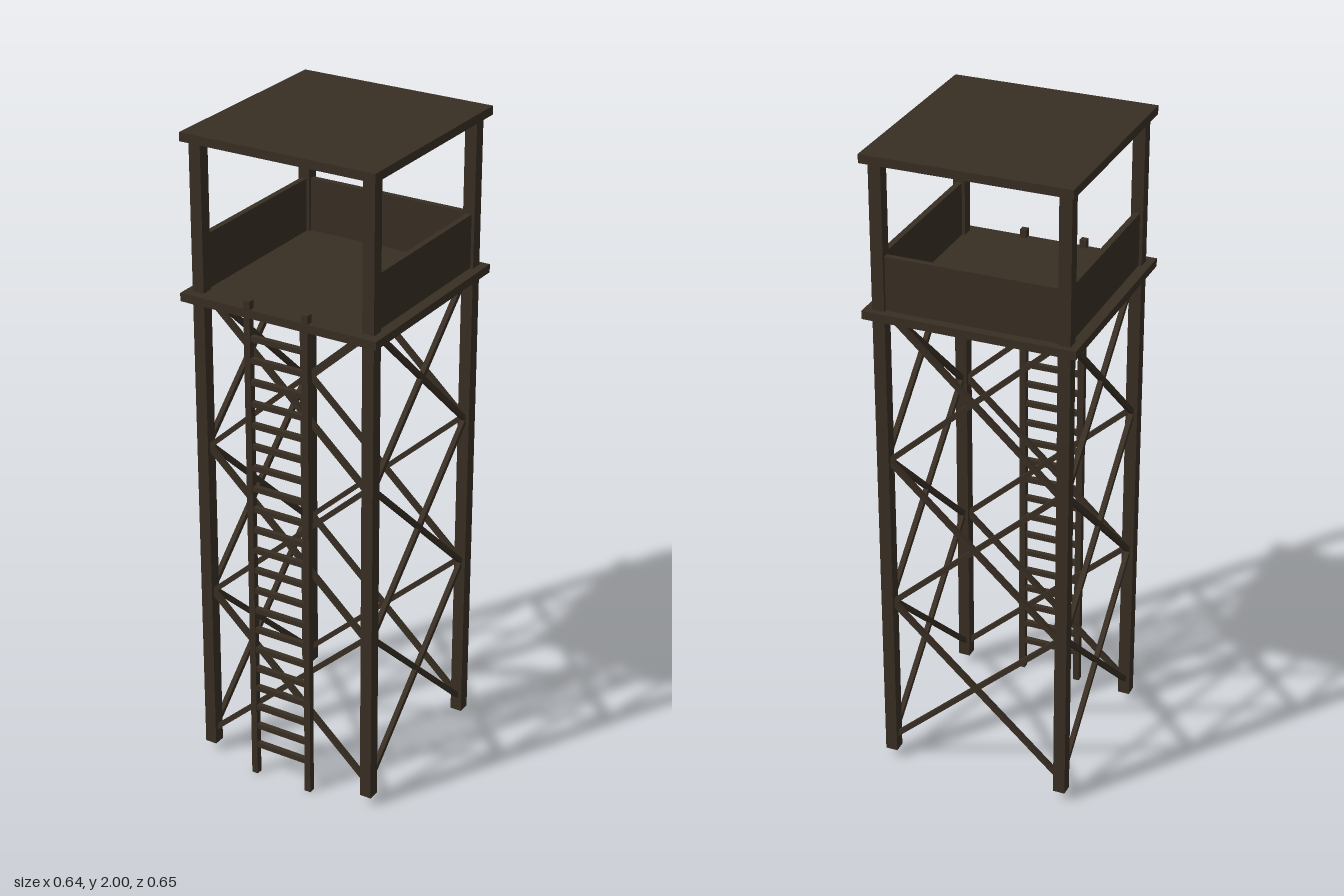
import * as THREE from 'three';

export function createModel() {
  const model = new THREE.Group();
  model.name = 'watchtower';
  const wood = new THREE.MeshStandardMaterial({ color: 0x382e23 });
  wood.name = 'dark wood';

  function box(parent, name, size, position) {
    const mesh = new THREE.Mesh(new THREE.BoxGeometry(...size), wood);
    mesh.name = name;
    mesh.position.set(...position);
    parent.add(mesh);
    return mesh;
  }
  function group(name, x = 0, z = 0) {
    const g = new THREE.Group();
    g.name = name;
    g.position.set(x, 0, z);
    model.add(g);
    return g;
  }

  // Four corner posts run from the ground to the roof
  const reach = 0.276, post = 0.037;
  const frame = group('frame', -0.001, -0.002);
  for (const x of [-reach, reach]) {
    for (const z of [-reach, reach]) {
      box(frame, 'cornerPost', [post, 1.945, post], [x, 1.0025, z]);
    }
  }

  // Three crossed pairs of braces on each side
  const half = 0.264, bottom = 0.08, pitch = 0.4825;
  const length = Math.hypot(2 * half, pitch);
  const tilt = Math.atan2(pitch, 2 * half);
  for (let side = 0; side < 4; side++) {
    const panel = new THREE.Group();
    panel.name = 'sideBracing';
    panel.rotation.y = side * Math.PI / 2;
    frame.add(panel);
    for (let level = 0; level < 3; level++) {
      for (const s of [-1, 1]) {
        const y = bottom + (level + 0.5) * pitch;
        box(panel, 'brace', [length, 0.015, 0.015], [0, y, reach]).rotation.z = s * tilt;
      }
    }
  }

  // Lookout cabin: floor, three low walls with an open front, flat roof
  box(model, 'platform', [0.636, 0.025, 0.637], [0, 1.517, 0.0035]);
  const wallLength = 2 * reach - post, wallY = 1.61, wallHeight = 0.166;
  for (const x of [-reach, reach]) {
    box(frame, 'sideWall', [0.018, wallHeight, wallLength], [x, wallY, 0]);
  }
  box(frame, 'backWall', [wallLength, wallHeight, 0.018], [0, wallY, -reach]);
  box(model, 'roof', [0.618, 0.026, 0.639], [-0.001, 1.987, -0.0045]);

  // Front ladder
  const ladder = group('ladder', -0.002, 0.313);
  for (const x of [-0.094, 0.094]) {
    box(ladder, 'ladderRail', [0.02, 1.555, 0.02], [x, 0.7775, 0]);
  }
  for (let i = 0; i < 21; i++) {
    box(ladder, 'rung', [0.17, 0.016, 0.016], [0, 0.103 + i * 0.067, 0]);
  }
  return model;
}
